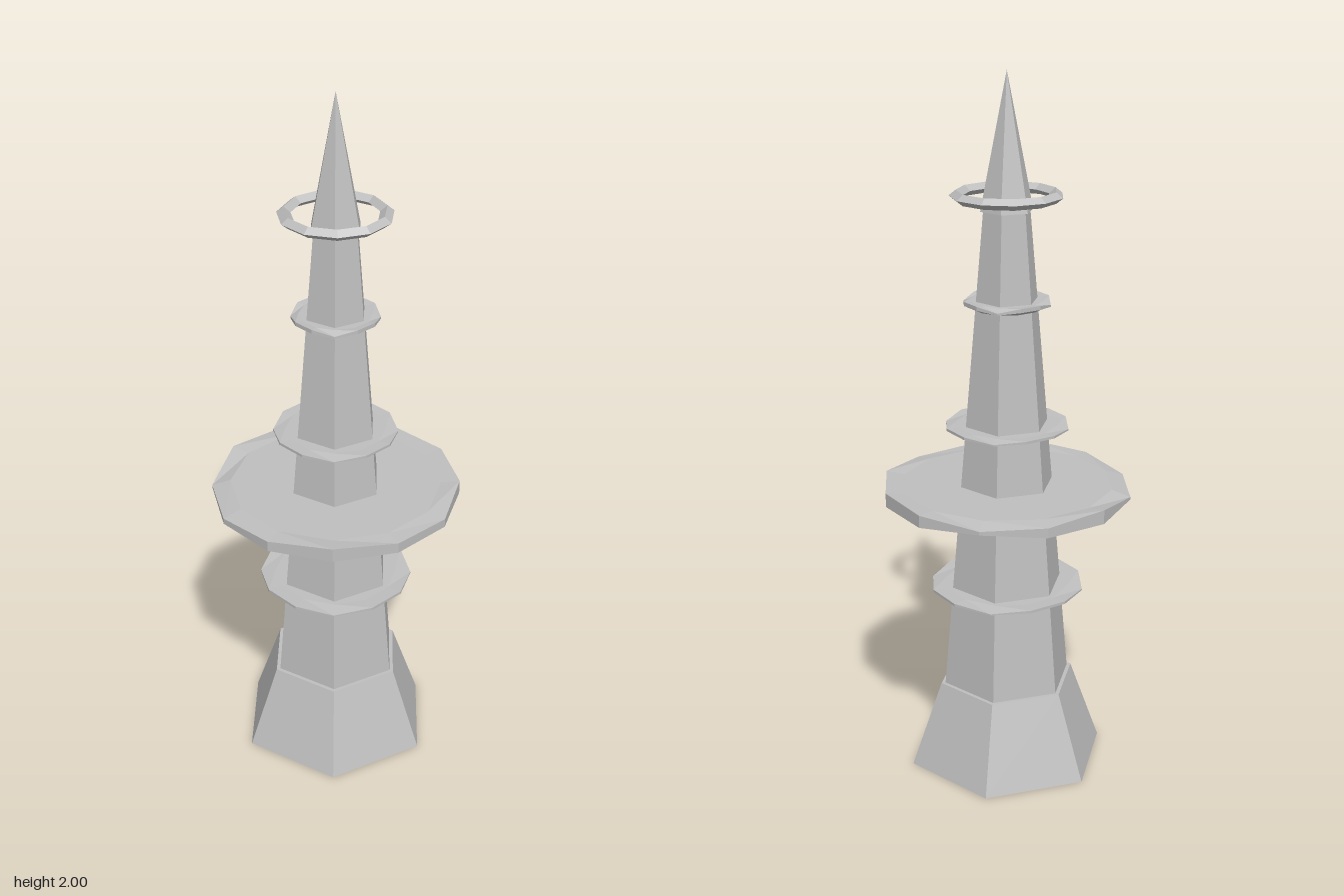
import * as THREE from 'three';

const SIDES = 12;

// Faceted plate: a flat middle and a rim whose upper and lower heights vary from corner to corner.
function plateGeometry(radius, innerRadius, flatTop, flatBottom, rimTop, rimBottom) {
  const at = (r, i, y) => {
    const a = (i / SIDES) * Math.PI * 2;
    return [r * Math.cos(a), y, r * Math.sin(a)];
  };
  const loops = [
    i => at(0, i, flatBottom),
    i => at(innerRadius, i, flatBottom),
    i => at(radius, i, rimBottom[i]),
    i => at(radius, i, rimTop[i]),
    i => at(innerRadius, i, flatTop),
    i => at(0, i, flatTop),
  ];
  const pos = [];
  for (let l = 0; l < loops.length - 1; l++) {
    for (let i = 0; i < SIDES; i++) {
      const j = (i + 1) % SIDES;
      const a = loops[l](i), b = loops[l](j), c = loops[l + 1](j), d = loops[l + 1](i);
      if (l > 0) pos.push(...a, ...c, ...b);
      if (l < loops.length - 2) pos.push(...a, ...d, ...c);
      if (l === 0) pos.push(...a, ...d, ...c);
    }
  }
  const g = new THREE.BufferGeometry();
  g.setAttribute('position', new THREE.Float32BufferAttribute(pos, 3));
  g.computeVertexNormals();
  return g;
}

export function createModel() {
  const group = new THREE.Group();
  const stone = new THREE.MeshStandardMaterial({ color: 0xbfbfbf, flatShading: true });
  stone.name = 'grey stone';

  const add = (name, geometry, y = 0) => {
    const mesh = new THREE.Mesh(geometry, stone);
    mesh.name = name;
    mesh.position.y = y;
    group.add(mesh);
    return mesh;
  };

  // Six-sided tower, corner facing the front
  const hexSection = (name, bottomRadius, topRadius, y0, y1) =>
    add(name, new THREE.CylinderGeometry(topRadius, bottomRadius, y1 - y0, 6), (y0 + y1) / 2);
  hexSection('base', 0.29, 0.2, 0, 0.25);
  hexSection('shaft', 0.188, 0.066, 0.25, 1.64);
  hexSection('spire', 0.075, 0, 1.63, 2);

  // Main observation deck; corners run from +x towards the front
  const deckTop = [0.86, 0.845, 0.85, 0.86, 0.85, 0.837, 0.835, 0.86, 0.848, 0.842, 0.855, 0.86];
  const deckBottom = [0.82, 0.82, 0.82, 0.82, 0.82, 0.82, 0.828, 0.82, 0.82, 0.832, 0.82, 0.82];
  add('observationDeck', plateGeometry(0.353, 0.3, 0.853, 0.82, deckTop, deckBottom));

  // Thin collars around the shaft with a gently wavy rim
  const collars = [
    { name: 'lowerCollar', radius: 0.22, inner: 0.175, y: 0.535, rise: 0.018 },
    { name: 'middleCollar', radius: 0.175, inner: 0.14, y: 1.016, rise: 0.018 },
    { name: 'upperCollar', radius: 0.122, inner: 0.1, y: 1.365, rise: 0.026 },
  ];
  for (const { name, radius, inner, y, rise } of collars) {
    const top = [], bottom = [];
    for (let i = 0; i < SIDES; i++) {
      const wave = i % 3 === 0 ? 0.4 : 0.85;
      top.push(y + rise * wave);
      bottom.push(y + rise * wave * 0.5);
    }
    add(name, plateGeometry(radius, inner, y + rise * 0.75, y, top, bottom));
  }

  // Floating ring around the spire
  const ring = new THREE.TorusGeometry(0.137, 0.019, 4, 11);
  ring.rotateX(-Math.PI / 2);
  ring.scale(1, 0.8, 1);
  add('spireRing', ring, 1.67).rotation.y = 0.2;

  return group;
}
